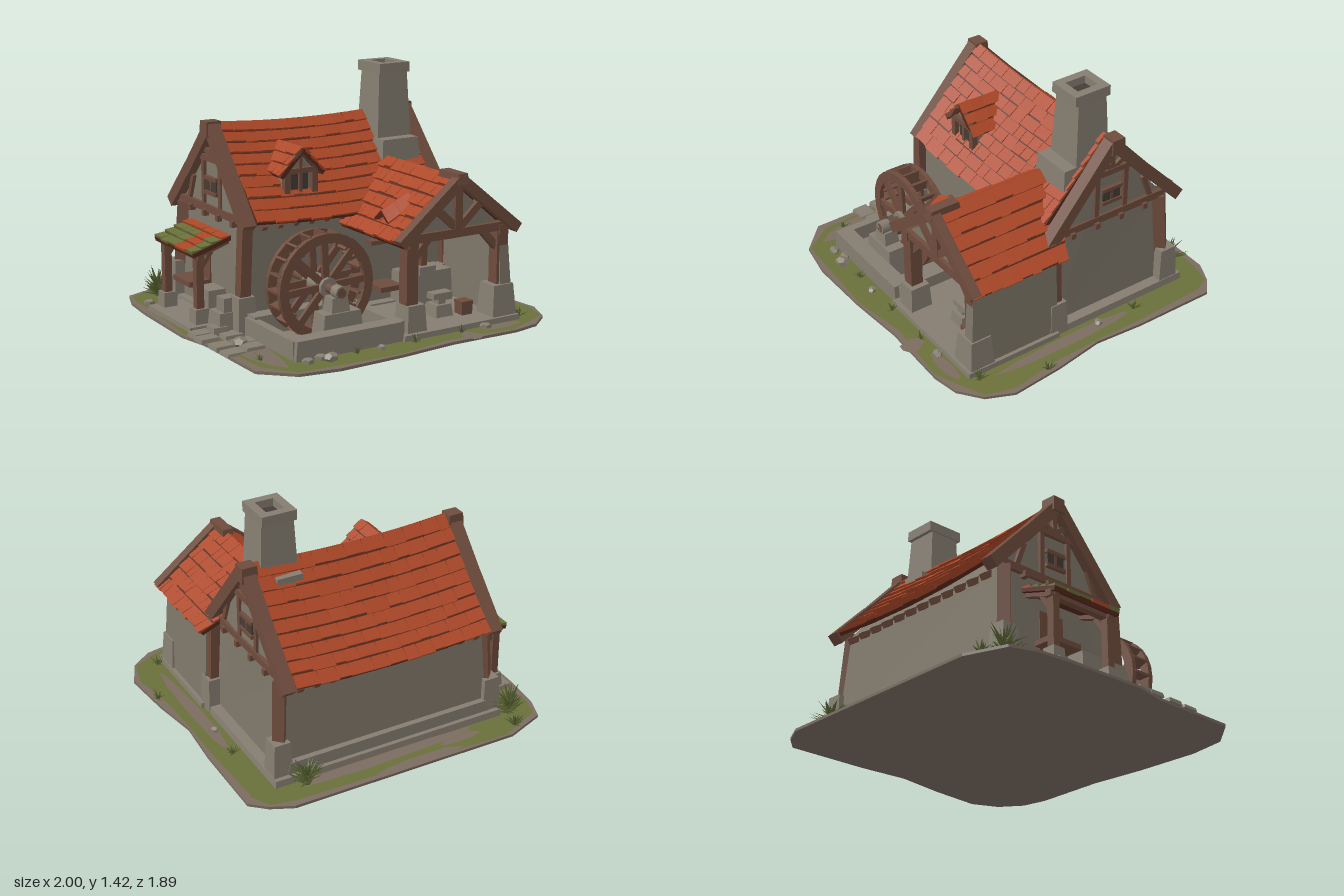
import * as THREE from 'three';
import { mergeGeometries } from 'three/addons/utils/BufferGeometryUtils.js';

const mat = (name, hex) => Object.assign(new THREE.MeshStandardMaterial({ color: hex }), { name });
const V = (x, y, z) => new THREE.Vector3(x, y, z);
const mix = THREE.MathUtils.lerp;

export function createModel() {
  const root = new THREE.Group();
  root.name = 'watermillForge';
  const M = {
    roof: mat('roofTile', 0xac4727), gap: mat('roofGap', 0x55291b), wood: mat('timber', 0x6e4c3d),
    wall: mat('plaster', 0x7e7668), stone: mat('stone', 0x857d70), dark: mat('darkRecess', 0x453c36),
    grass: mat('grass', 0x6a703a), dirt: mat('dirt', 0x7a6c60), leaf: mat('leaf', 0x566031),
  };
  let seed = 7;
  const rnd = () => (seed = (seed * 16807) % 2147483647) / 2147483647;

  const add = (name, geo, m) => {
    const mesh = new THREE.Mesh(geo, m);
    mesh.name = name;
    root.add(mesh);
    return mesh;
  };
  // Box whose corners are moved by a rule of the corner signs
  const warped = (rule) => {
    const g = new THREE.BoxGeometry(2, 2, 2), p = g.attributes.position;
    for (let i = 0; i < p.count; i++) {
      const q = rule(p.getX(i), p.getY(i), p.getZ(i));
      p.setXYZ(i, q.x, q.y, q.z);
    }
    g.computeVertexNormals();
    return g;
  };
  // Block between limits, its top shrunk by a taper factor
  const block = (name, m, x0, x1, y0, y1, z0, z1, taper = 1) => add(name, warped((x, y, z) => {
    const k = y > 0 ? taper : 1;
    return V((x0 + x1) / 2 + x * k * (x1 - x0) / 2, y > 0 ? y1 : y0, (z0 + z1) / 2 + z * k * (z1 - z0) / 2);
  }), m);
  const beam = (name, a, b, w = 0.05, t = w, m = M.wood) => {
    const mesh = add(name, new THREE.BoxGeometry(w, t, a.distanceTo(b)), m);
    mesh.position.copy(a).lerp(b, 0.5);
    mesh.lookAt(b);
    return mesh;
  };
  const shapeOf = (pts) => new THREE.Shape(pts.map(([x, y]) => new THREE.Vector2(x, y)));
  const extrude = (shape, depth) => new THREE.ExtrudeGeometry(shape, { depth, bevelEnabled: false, curveSegments: 14 });

  // Rows of staggered tiles over a dark slab; surf(u, v) runs across u and down v
  function shingles(name, surfIn, rows, cols, mossy = () => false) {
    const nrm = (s, u, v) => s(u, Math.min(v + 0.05, 1)).sub(s(u, Math.max(v - 0.05, 0)))
      .cross(s(u + 0.05, v).sub(s(u - 0.05, v))).normalize();
    const surf = nrm(surfIn, 0.5, 0.5).y < 0 ? (u, v) => surfIn(1 - u, v) : surfIn;
    const tile = (u0, u1, v0, v1, low, top, edge) => warped((x, y, z) => {
      const u = x < 0 ? u0 : u1, v = z < 0 ? v0 : v1;
      return surf(u, v).addScaledVector(nrm(surf, u, v), y < 0 ? low : z < 0 ? top : edge);
    });
    const parts = { roof: [], gap: [], grass: [] };
    for (let r = 0; r < rows; r++) {
      for (let c = 0; c < 4; c++) parts.gap.push(tile(c / 4, (c + 1) / 4, r / rows, (r + 1) / rows, -0.025, 0, 0));
      let u0 = 0;
      while (u0 < 1) {
        let u1 = u0 + (0.6 + rnd() * 0.8) / cols;
        if (u1 > 1 - 0.4 / cols) u1 = 1;
        const v1 = (r + 1 - rnd() * 0.16 + (r === rows - 1 ? 0.1 : 0)) / rows;
        parts[mossy(u0, v1) ? 'grass' : 'roof'].push(tile(u0, u1 - 0.003, r / rows, v1, -0.004, 0.004, 0.012 + rnd() * 0.006));
        u0 = u1;
      }
    }
    for (const k in parts) if (parts[k].length) add(name + (k === 'gap' ? 'Underlay' : k === 'grass' ? 'Moss' : 'Tiles'), mergeGeometries(parts[k]), M[k]);
  }
  // Two slopes with a ridge along z: back limits differ at ridge and eave
  const gableRoof = (name, cx, half, yr, ye, zf, zbR, zbE, rows, cols) => {
    for (const s of [-1, 1]) shingles(name, (u, v) =>
      V(cx + s * half * v, mix(yr, ye, v), mix(mix(zbR, zbE, v), zf, u)), rows, cols);
  };

  // Ground slab, grass and bare patches
  const outline = [[-0.99, -0.5], [-0.97, -0.72], [-0.92, -0.86], [-0.68, -0.95], [0.72, -0.94], [0.85, -0.88], [0.94, -0.8],
    [0.94, -0.3], [0.92, 0], [0.97, 0.3], [1, 0.62], [0.93, 0.78], [0.8, 0.88], [0.64, 0.91], [0.2, 0.9], [-0.15, 0.93],
    [-0.55, 0.94], [-0.78, 0.9], [-0.95, 0.74], [-0.96, 0.2], [-1, 0]];
  const flat = (name, m, pts, y) => add(name, new THREE.ShapeGeometry(shapeOf(pts.map(([x, z]) => [x, -z]))).rotateX(-Math.PI / 2).translate(0, y, 0), m);
  add('ground', extrude(shapeOf(outline.map(([x, z]) => [x, -z])), 0.016).rotateX(-Math.PI / 2), M.dirt);
  flat('grass', M.grass, outline.map(([x, z], i) => [x * (0.95 + (i % 3) * 0.02), z * (0.96 + (i % 2) * 0.03)]), 0.019);
  for (const [x, z, rx, rz] of [[0.1, -0.79, 0.62, 0.05], [0.35, 0.87, 0.06, 0.07], [-0.1, -0.91, 0.3, 0.03], [0.82, 0.1, 0.04, 0.5], [-0.8, 0.45, 0.09, 0.32], [-0.4, -0.84, 0.15, 0.03], [0.6, 0.82, 0.15, 0.04]])
    flat('dirtPatch', M.dirt, [...Array(9)].map((_, i) => {
      const a = i / 9 * Math.PI * 2, k = 0.75 + rnd() * 0.4;
      return [x + Math.cos(a) * rx * k, z + Math.sin(a) * rz * k];
    }), 0.022);

  // Main house body, flaring towards the foot
  const bodyShape = shapeOf([[-0.13, 0.02], [0.7, 0.02], [0.66, 0.62], [0.27, 1.08], [-0.12, 0.66]]);
  const body = extrude(bodyShape, 1.28).rotateY(Math.PI / 2).translate(-0.64, 0, 0);
  const bp = body.attributes.position;
  for (let i = 0; i < bp.count; i++) bp.setX(i, bp.getX(i) * (1 + 0.11 * Math.max(0, 0.62 - bp.getY(i))));
  body.computeVertexNormals();
  add('houseWalls', body, M.wall);
  block('plinth', M.stone, -0.73, 0.75, 0.01, 0.06, -0.76, 0.2, 0.99);
  block('backLedge', M.stone, -0.66, 0.66, 0.05, 0.13, -0.73, -0.6, 0.97);

  // Main roof: sagging ridge, slightly hollow back slope
  const sag = (u) => 0.028 * (2 * u - 1) ** 2;
  shingles('frontRoof', (u, v) => V(mix(-0.62, 0.61, u), mix(1.115, 0.62, v) + sag(u), mix(-0.26, 0.2, v)), 9, 12);
  shingles('backRoof', (u, v) => V(mix(-0.62, 0.61, u), mix(1.115, 0.595, v) + sag(u) - 0.09 * v * (1 - v), mix(-0.26, -0.76, v)), 9, 12);
  for (let i = 0; i < 12; i++) {
    const x = -0.56 + i * 0.102;
    beam('rafterTail', V(x, 0.62, -0.62), V(x, 0.565, -0.71), 0.035);
    if (x < 0) beam('rafterTail', V(x, 0.66, 0.1), V(x, 0.6, 0.17), 0.03);
  }
  // Gable timbers on both ends
  for (const s of [-1, 1]) {
    const X = s * 0.65, rake = s * 0.655;
    const top = V(rake, 1.115, -0.26);
    beam('frontBargeBoard', top, V(rake + s * 0.01, 0.61, 0.17), 0.075, 0.07);
    beam('backBargeBoard', top, V(rake, 0.83, -0.52), 0.075, 0.07);
    beam('backBargeBoard', V(rake, 0.85, -0.505), V(rake, 0.595, -0.75), 0.075, 0.07);
    block('ridgeEnd', M.wood, rake - 0.05, rake + 0.05, 1.06, 1.15, -0.32, -0.23, 0.9);
    beam('tieBeam', V(X, 0.635, 0.12), V(X, 0.635, -0.66), 0.035, 0.045);
    beam('collarBeam', V(X, 0.93, -0.1), V(X, 0.93, -0.42), 0.035, 0.035);
    for (const [z0, y0, z1, y1] of [[-0.27, 0.94, -0.27, 1.1], [-0.27, 0.94, -0.17, 1.02], [-0.27, 0.94, -0.38, 1.0], [0.04, 0.64, -0.03, 0.83], [-0.56, 0.64, -0.5, 0.8], [-0.17, 0.64, -0.17, 0.93], [-0.37, 0.64, -0.37, 0.93]])
      beam('gableStrut', V(X, y0, z0), V(X, y1, z1), 0.025, 0.03);
    block('gableWindow', M.dark, X - 0.012, X + 0.012, 0.735, 0.81, -0.33, -0.21);
    for (const y of [0.73, 0.815]) beam('windowRail', V(X, y, -0.2), V(X, y, -0.34), 0.04, 0.022);
    beam('windowBar', V(X, 0.73, -0.27), V(X, 0.815, -0.27), 0.03, 0.015);
    for (let i = 0; i < 4; i++) block('joistEnd', M.wood, X - 0.035, X + 0.035, 0.59, 0.625, -0.52 + i * 0.17, -0.49 + i * 0.17);
    beam('backPost', V(s * 0.665, 0.24, -0.655), V(s * 0.645, 0.62, -0.635), 0.07);
    block('backPostFoot', M.stone, s * 0.68 - 0.06, s * 0.68 + 0.06, 0.02, 0.26, -0.73, -0.6, 0.8);
    beam('frontPost', V(s * 0.69, 0.2, 0.14), V(s * 0.67, 0.62, 0.14), 0.065);
    block('frontPostFoot', M.stone, s * 0.69 - 0.06, s * 0.69 + 0.06, 0.02, 0.23, 0.08, 0.2, 0.85);
  }

  // Chimney with hollow cap
  block('chimneyBase', M.stone, 0.32, 0.6, 0.76, 0.98, -0.27, 0.02, 0.88);
  block('chimneySkirt', M.stone, 0.35, 0.52, 0.92, 1.06, -0.37, -0.2, 0.92);
  block('chimneyShaft', M.stone, 0.345, 0.59, 0.85, 1.37, -0.305, -0.07, 0.8);
  const cap = shapeOf([[0.36, 0.07], [0.57, 0.07], [0.57, 0.305], [0.36, 0.305]]);
  cap.holes.push(new THREE.Path([[0.41, 0.12], [0.41, 0.255], [0.52, 0.255], [0.52, 0.12]].map((p) => new THREE.Vector2(...p))));
  add('chimneyCap', extrude(cap, 0.06).rotateX(-Math.PI / 2).translate(0, 1.36, 0), M.stone);
  block('chimneyFlue', M.dark, 0.41, 0.52, 1.369, 1.374, -0.255, -0.12);

  // Dormer
  add('dormerWalls', extrude(shapeOf([[-0.385, 0.7], [-0.175, 0.7], [-0.175, 0.89], [-0.28, 1], [-0.385, 0.89]]), 0.2).translate(0, 0, -0.13), M.wall);
  gableRoof('dormerRoof', -0.28, 0.145, 1.02, 0.87, 0.115, -0.2, -0.06, 3, 4);
  block('dormerWindow', M.dark, -0.335, -0.225, 0.755, 0.87, 0.07, 0.076);
  for (const s of [-1, 1]) {
    beam('dormerBarge', V(-0.28, 1.005, 0.1), V(-0.28 + s * 0.135, 0.865, 0.1), 0.03);
    beam('dormerPost', V(-0.28 + s * 0.09, 0.73, 0.08), V(-0.28 + s * 0.09, 0.9, 0.08), 0.035);
  }
  for (const y of [0.735, 0.885]) beam('dormerRail', V(-0.39, y, 0.08), V(-0.17, y, 0.08), 0.035, 0.03);
  beam('dormerBar', V(-0.28, 0.74, 0.08), V(-0.28, 0.98, 0.08), 0.02);

  // Forge wing: roof, front truss, open front, walled right side
  gableRoof('wingRoof', 0.365, 0.405, 0.885, 0.555, 0.74, -0.07, 0.11, 6, 9);
  add('wingGable', extrude(shapeOf([[0.06, 0.57], [0.68, 0.57], [0.365, 0.83]]), 0.03).translate(0, 0, 0.66), M.wall);
  for (const s of [-1, 1]) {
    const x = 0.37 + s * 0.31;
    beam('wingBarge', V(0.365, 0.875, 0.72), V(0.365 + s * 0.4, 0.555, 0.72), 0.06);
    beam('trussStrut', V(0.365, 0.59, 0.69), V(0.365 + s * 0.16, 0.73, 0.69), 0.045);
    beam('wingPost', V(x, 0.18, 0.67), V(x, 0.58, 0.67), 0.075);
    beam('kneeBrace', V(x, 0.42, 0.67), V(x - s * 0.13, 0.56, 0.67), 0.04);
    beam('wallPlate', V(x, 0.55, 0.12), V(x, 0.55, 0.72), 0.06);
  }
  block('ridgeCap', M.wood, 0.33, 0.4, 0.85, 0.91, 0.56, 0.755, 0.9);
  beam('trussTie', V(0, 0.57, 0.69), V(0.73, 0.57, 0.69), 0.05);
  beam('kingPost', V(0.365, 0.57, 0.69), V(0.365, 0.86, 0.69), 0.05);
  block('leftPostFoot', M.stone, 0.01, 0.14, 0.03, 0.2, 0.6, 0.74, 0.85);
  block('rightPostFoot', M.stone, 0.59, 0.76, 0.03, 0.23, 0.59, 0.75, 0.8);
  add('wingWall', warped((x, y, z) => V(x < 0 ? 0.66 : y < 0 ? 0.745 : 0.715, y < 0 ? 0.03 : 0.57, z < 0 ? 0.15 : y < 0 ? 0.735 : 0.7)), M.wall);
  block('wingFloor', M.stone, -0.03, 0.77, 0.01, 0.05, 0.15, 0.77, 0.99);
  for (const s of [-1, 1]) shingles('ventRoof', (u, v) => V(mix(0.02, 0.2, u), mix(mix(0.69, 0.77, u), mix(0.63, 0.72, u), v), 0.455 + s * 0.07 * v), 1, 2);

  // Forge fittings
  block('forgeHearth', M.stone, 0.3, 0.62, 0.04, 0.24, 0.14, 0.32, 0.95);
  beam('forgeShelf', V(0.12, 0.43, 0.18), V(0.62, 0.43, 0.18), 0.06, 0.025);
  beam('bellowsPost', V(0.38, 0.24, 0.35), V(0.38, 0.52, 0.35), 0.04);
  block('bellowsBlock', M.stone, 0.33, 0.44, 0.25, 0.3, 0.3, 0.4);
  block('anvilStump', M.stone, 0.31, 0.43, 0.04, 0.12, 0.47, 0.59, 0.85);
  block('anvilNeck', M.stone, 0.345, 0.395, 0.12, 0.15, 0.5, 0.56);
  block('anvilTop', M.stone, 0.31, 0.44, 0.15, 0.185, 0.495, 0.565);
  block('bucket', M.wood, 0.47, 0.54, 0.04, 0.13, 0.55, 0.62, 1.1);
  block('workBench', M.wood, 0.1, 0.25, 0.17, 0.2, 0.18, 0.34);

  // Wheel basin
  block('basinFloor', M.stone, -0.7, -0.03, 0.01, 0.03, 0.18, 0.75);
  block('basinFront', M.stone, -0.71, -0.02, 0.01, 0.13, 0.65, 0.75, 0.97);
  block('basinBack', M.stone, -0.7, -0.02, 0.01, 0.14, 0.18, 0.28, 0.97);
  block('basinLeft', M.stone, -0.71, -0.66, 0.01, 0.125, 0.2, 0.72);
  block('basinRight', M.stone, -0.06, 0.0, 0.01, 0.125, 0.2, 0.72);
  block('axleBlock', M.stone, -0.49, -0.22, 0.02, 0.21, 0.53, 0.66, 0.85);
  block('axleBearing', M.stone, -0.42, -0.3, 0.2, 0.29, 0.54, 0.64, 0.8);

  // Water wheel: two rims, spokes, paddles, axle
  const wheel = new THREE.Group();
  wheel.name = 'waterWheel';
  wheel.position.set(-0.355, 0.315, 0.41);
  root.add(wheel);
  const ring = new THREE.Shape().absarc(0, 0, 0.3, 0, Math.PI * 2);
  ring.holes.push(new THREE.Path().absarc(0, 0, 0.245, 0, Math.PI * 2, true));
  const wheelPart = (name, geo, m = M.wood) => {
    const mesh = add(name, geo, m);
    wheel.add(mesh);
  };
  for (const z of [-0.08, 0.05]) {
    wheelPart('wheelRim', extrude(ring, 0.03).translate(0, 0, z));
    for (let i = 0; i < 4; i++) wheelPart('wheelSpoke', new THREE.BoxGeometry(0.5, 0.04, 0.022).rotateZ(i * Math.PI / 4 + 0.05).translate(0, 0, z + 0.015));
  }
  for (let i = 0; i < 20; i++) wheelPart('wheelPaddle', new THREE.BoxGeometry(0.075, 0.014, 0.12).translate(0.265, 0, 0).rotateZ(i * Math.PI / 10));
  wheelPart('wheelAxle', new THREE.CylinderGeometry(0.03, 0.03, 0.52, 8).rotateX(Math.PI / 2).translate(0, 0, -0.03));
  wheelPart('wheelHub', new THREE.CylinderGeometry(0.055, 0.055, 0.2, 10).rotateX(Math.PI / 2), M.stone);
  wheelPart('axleEnd', new THREE.CylinderGeometry(0.04, 0.04, 0.06, 8).rotateX(Math.PI / 2).translate(0, 0, 0.2), M.stone);

  // Lean-to on the left side
  shingles('leanToRoof', (u, v) => V(mix(-0.66, -0.905, v), mix(0.53, 0.455, v), mix(-0.52, -0.04, u)), 4, 5,
    (u, v) => v > 0.45 && (u < 0.45 || u > 0.75));
  block('leanToFloor', M.stone, -0.95, -0.68, 0.01, 0.045, -0.54, 0.0, 0.98);
  for (const z of [-0.48, -0.08]) {
    beam('leanToPost', V(-0.85, 0.05, z), V(-0.85, 0.45, z), 0.045);
    block('leanToFoot', M.stone, -0.895, -0.805, 0.02, 0.13, z - 0.045, z + 0.045, 0.85);
    beam('leanToRafter', V(-0.88, 0.43, z), V(-0.66, 0.5, z), 0.035);
    beam('leanToBrace', V(-0.85, 0.34, z), V(-0.77, 0.45, z), 0.025);
  }
  beam('leanToPlate', V(-0.85, 0.435, -0.52), V(-0.85, 0.435, -0.04), 0.04);
  block('leanToBench', M.wood, -0.82, -0.69, 0.2, 0.23, -0.46, -0.25);
  block('leanToOven', M.stone, -0.8, -0.68, 0.04, 0.22, -0.22, -0.06, 0.9);
  block('sideDoor', M.wood, -0.688, -0.68, 0.05, 0.42, -0.42, -0.25);

  // Paving, steps and loose rocks beside the basin
  for (let i = 0; i < 8; i++) {
    const x = -0.92 + (i % 2) * 0.13, z = 0.05 + (i >> 1) * 0.12;
    block('pavingStone', M.stone, x - 0.06, x + 0.06, 0.012, 0.03 + rnd() * 0.015, z - 0.05, z + 0.05, 0.9).rotation.y = (rnd() - 0.5) * 0.06;
  }
  for (const [x, z, w, h] of [[-0.76, 0.06, 0.075, 0.14], [-0.75, 0.07, 0.05, 0.22], [-0.83, 0.1, 0.05, 0.07]])
    block('stackedStone', M.stone, x - w, x + w, 0.02, h, z - w, z + w, 0.85);
  for (const [x, z, r] of [[-0.53, 0.81, 0.04], [-0.57, 0.77, 0.03], [-0.66, 0.79, 0.03], [0.8, -0.1, 0.025], [-0.2, 0.8, 0.025], [-0.82, 0.34, 0.045], [0.5, 0.8, 0.03], [-0.9, -0.62, 0.03]]) {
    const rock = add('rock', new THREE.DodecahedronGeometry(r).scale(1.2, 0.7, 1), M.stone);
    rock.position.set(x, 0.02 + r * 0.4, z);
    rock.rotation.y = r * 90;
  }

  // Bushes and grass tufts made of pointed blades
  for (const [x, z, n, len] of [[-0.78, -0.76, 60, 0.12], [0.58, -0.81, 60, 0.12], [-0.74, -0.88, 24, 0.08], [0.81, -0.35, 16, 0.06], [0.95, 0.37, 14, 0.06], [0.8, 0.72, 18, 0.06], [0.02, 0.8, 14, 0.05], [-0.35, 0.79, 14, 0.05], [-0.85, 0.62, 14, 0.05], [0.33, 0.8, 12, 0.05], [-0.93, 0.0, 10, 0.05]]) {
    const blades = [];
    for (let i = 0; i < n; i++) {
      const l = len * (0.6 + rnd() * 0.6), tilt = 0.2 + rnd() * 1.1, turn = rnd() * 6.28;
      blades.push(new THREE.ConeGeometry(len * 0.14, l, 4).scale(1, 1, 0.4).translate(0, l / 2, 0).rotateX(tilt).rotateY(turn)
        .translate(x, 0.02 + (len > 0.1 ? rnd() * 0.07 : 0), z));
    }
    add(len > 0.1 ? 'bush' : 'grassTuft', mergeGeometries(blades), M.leaf);
  }
  return root;
}
